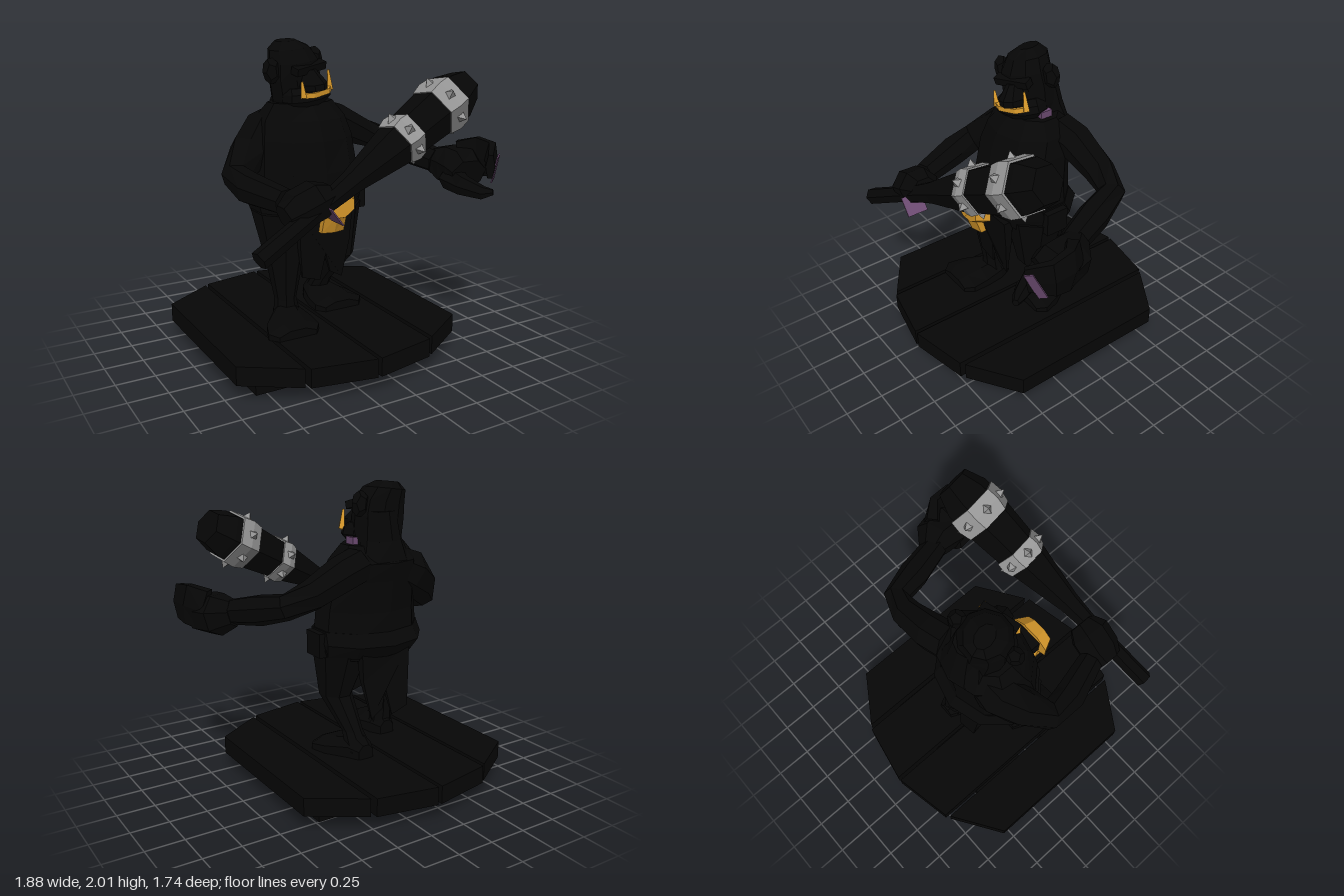
import * as THREE from 'three';

const flat = (name, color) => {
  const m = new THREE.MeshStandardMaterial({ color, side: THREE.DoubleSide, flatShading: true });
  m.name = name;
  return m;
};
const V = (x, y, z) => new THREE.Vector3(x, y, z);

export function createModel() {
  const black = flat('charcoal', 0x060606);
  const gold = flat('gold', 0xdc9c2c);
  const steel = flat('steel', 0x969696);
  const purple = flat('palm purple', 0x6e4c73);
  const model = new THREE.Group();

  const add = (parent, name, geo, mat, p = [0, 0, 0], r = [0, 0, 0]) => {
    const m = new THREE.Mesh(geo, mat);
    m.name = name;
    m.position.set(...p);
    m.rotation.set(...r);
    parent.add(m);
    return m;
  };
  const box = (parent, name, size, mat, p, r) => add(parent, name, new THREE.BoxGeometry(...size), mat, p, r);

  // Skin of n-sided rings; each point is [x, y, z, radius along ref, other radius]
  function loft(pts, { n = 8, ref = V(0, 1, 0), axis = null, floor = -9 } = {}) {
    const c = pts.map(p => V(p[0], p[1], p[2]));
    const rings = pts.map((p, i) => {
      const t = axis ? axis.clone()
        : c[Math.min(i + 1, c.length - 1)].clone().sub(c[Math.max(i - 1, 0)]).normalize();
      const u = ref.clone().addScaledVector(t, -t.dot(ref)).normalize();
      const v = t.clone().cross(u);
      return Array.from({ length: n }, (_, j) => {
        const a = (j + 0.5) / n * Math.PI * 2;
        const q = c[i].clone().addScaledVector(u, Math.cos(a) * p[3])
          .addScaledVector(v, Math.sin(a) * (p[4] ?? p[3]));
        q.y = Math.max(q.y, floor);
        return q;
      });
    });
    const out = [];
    const tri = (...vs) => vs.forEach(q => out.push(q.x, q.y, q.z));
    const last = rings.length - 1;
    for (let j = 0; j < n; j++) {
      const k = (j + 1) % n;
      for (let i = 0; i < last; i++) {
        const a = rings[i], b = rings[i + 1];
        tri(a[j], a[k], b[k]);
        tri(a[j], b[k], b[j]);
      }
      tri(c[0], rings[0][k], rings[0][j]);
      tri(c[last], rings[last][j], rings[last][k]);
    }
    const g = new THREE.BufferGeometry();
    g.setAttribute('position', new THREE.Float32BufferAttribute(out, 3));
    g.computeVertexNormals();
    return g;
  }
  const upright = { n: 10, ref: V(1, 0, 0), axis: V(0, 1, 0) };
  const polygon = pts => new THREE.Shape(pts.map(p => new THREE.Vector2(...p)));

  // Plank stand
  const stand = new THREE.Group();
  stand.name = 'stand';
  model.add(stand);
  for (const [x0, x1, z0, z1] of [[-0.945, -0.612, 0.55, 0.77], [-0.585, -0.18, 0.79, 0.87],
    [-0.155, 0.25, 0.87, 0.79], [0.28, 0.615, 0.77, 0.55]]) {
    const g = new THREE.ExtrudeGeometry(polygon([[x0, -z0], [x1, -z1], [x1, z1], [x0, z0]]),
      { depth: 0.12, bevelEnabled: false });
    g.rotateX(Math.PI / 2);
    add(stand, 'plank', g, black, [0, 0.22, 0]);
  }
  for (const z of [0.335, -0.295]) box(stand, 'crossBeam', [1.3, 0.12, 0.41], black, [-0.17, 0.06, z]);

  // Torso, nape and belt
  const ring = ([y, z, rx, rz]) => [-0.175, y, z, rx, rz];
  add(model, 'torso', loft([[0.88, -0.03, 0.34, 0.24], [1, -0.03, 0.37, 0.28], [1.2, -0.03, 0.35, 0.28],
    [1.4, -0.06, 0.33, 0.27], [1.52, -0.1, 0.3, 0.26], [1.62, -0.1, 0.22, 0.16]].map(ring), upright), black);
  add(model, 'nape', loft([[1.45, -0.23, 0.2, 0.1], [1.53, -0.24, 0.18, 0.11], [1.65, -0.2, 0.14, 0.12],
    [1.83, -0.17, 0.11, 0.11]].map(ring), upright), black);
  add(model, 'belt', loft([[0.9, -0.03, 0.36, 0.26], [0.99, -0.05, 0.385, 0.32],
    [1.07, -0.02, 0.375, 0.29]].map(ring), upright), black);
  box(model, 'beltPouch', [0.07, 0.16, 0.16], black, [0.19, 0.98, -0.02]);
  box(model, 'neckPatch', [0.05, 0.05, 0.08], purple, [-0.025, 1.64, -0.1]);

  // Buckle
  const plate = new THREE.CylinderGeometry(0.115, 0.162, 0.085, 8);
  plate.rotateY(Math.PI / 8);
  plate.rotateX(Math.PI / 2);
  plate.scale(1, 0.7, 1);
  add(model, 'buckle', plate, gold, [-0.18, 1.035, 0.37]);
  box(model, 'buckleMount', [0.18, 0.12, 0.1], black, [-0.18, 1.035, 0.28]);
  add(model, 'buckleDrop', loft([[-0.19, 0.86, 0.33, 0.09, 0.04], [-0.19, 0.98, 0.365, 0.09, 0.05]],
    { n: 6, ref: V(1, 0, 0), axis: V(0, 1, 0) }), gold);

  // Loincloth, front and back, tapering to the hem
  for (const [name, z, sweep] of [['frontCloth', 0.215, 0.015], ['backCloth', -0.235, 0.07]]) {
    const g = new THREE.ExtrudeGeometry(polygon([[-0.36, 0.95], [-0.355, 0.75], [-0.33, 0.54], [-0.2, 0.5],
      [-0.17, 0.68], [-0.13, 0.55], [-0.04, 0.5], [0, 0.75], [0.01, 0.95]]), { depth: 1, bevelEnabled: false });
    const p = g.attributes.position;
    for (let i = 0; i < p.count; i++) {
      const t = (p.getY(i) - 0.5) / 0.45;
      p.setZ(i, z - sweep * (1 - t) ** 2 + (p.getZ(i) - 0.5) * (0.01 + 0.06 * t));
    }
    g.computeVertexNormals();
    add(model, name, g, black);
  }

  // Legs and feet
  const leg = { ...upright, n: 8 };
  add(model, 'rightLeg', loft([[-0.38, 0.26, 0.08, 0.09, 0.08], [-0.39, 0.38, 0.08, 0.07, 0.075],
    [-0.39, 0.6, 0.08, 0.115, 0.11], [-0.36, 0.95, 0, 0.2, 0.22]], leg), black);
  add(model, 'leftLeg', loft([[-0.01, 0.26, -0.21, 0.09, 0.08], [0, 0.38, -0.14, 0.07, 0.07],
    [0.03, 0.6, 0.02, 0.11, 0.12], [0.0, 0.95, -0.02, 0.2, 0.22]], leg), black);
  for (const [name, x, z, dx] of [['rightFoot', -0.38, -0.01, -0.07], ['leftFoot', -0.01, -0.29, 0.04]]) {
    add(model, name, loft([[x, 0.25, z, 0.06, 0.07], [x, 0.25, z + 0.08, 0.1, 0.11],
      [x + dx * 0.7, 0.24, z + 0.22, 0.17, 0.09], [x + dx, 0.23, z + 0.33, 0.19, 0.08],
      [x + dx, 0.23, z + 0.39, 0.14, 0.05]], { n: 8, ref: V(1, 0, 0), axis: V(0, 0, 1), floor: 0.221 }), black);
  }

  // Head, turned and tilted a little
  const head = new THREE.Group();
  head.name = 'head';
  head.position.set(-0.2, 1.78, -0.08);
  head.rotation.set(0, 0.29, 0.14);
  model.add(head);
  add(head, 'skull', loft([[0, -0.24, -0.06, 0.14, 0.15], [0, -0.12, -0.03, 0.17, 0.16], [0, 0, -0.03, 0.175, 0.16],
    [0, 0.1, -0.03, 0.16, 0.16], [0, 0.18, -0.06, 0.125, 0.14], [0, 0.225, -0.08, 0.055, 0.08]], upright), black);
  add(head, 'jaw', loft([[0, -0.18, 0.05, 0.13, 0.1], [0, -0.13, 0.06, 0.18, 0.14],
    [0, -0.085, 0.06, 0.17, 0.13], [0, -0.05, 0.04, 0.14, 0.11]], upright), black);
  add(head, 'muzzle', loft([[0, -0.075, 0.1, 0.09, 0.125], [0, -0.035, 0.1, 0.095, 0.13],
    [0, 0.05, 0.07, 0.05, 0.08]], upright), black);
  box(head, 'brow', [0.25, 0.05, 0.06], black, [0, 0.06, 0.11], [0.3, 0, 0]);
  add(head, 'teeth', loft([[-0.12, -0.09, 0.155, 0.022, 0.016], [-0.06, -0.095, 0.195, 0.022, 0.016],
    [0.06, -0.095, 0.195, 0.022, 0.016], [0.12, -0.09, 0.155, 0.022, 0.016]], { n: 4 }), gold);
  for (const [s, h] of [[-1, 0.1], [1, 0.125]]) {
    add(head, 'tusk', new THREE.CylinderGeometry(0.009, 0.026, h, 4), gold, [s * 0.118, h / 2 - 0.1, 0.16]);
    const ear = add(head, 'ear', new THREE.DodecahedronGeometry(0.085), black, [s * 0.19, 0.07, -0.03]);
    ear.scale.set(0.7, 1, 0.6);
  }

  // Arms: shoulder, elbow, wrist
  add(model, 'rightArm', loft([[-0.26, 1.5, -0.18, 0.12], [-0.4, 1.42, -0.17, 0.15], [-0.54, 1.32, -0.1, 0.13],
    [-0.68, 1.2, 0.02, 0.095], [-0.67, 1.16, 0.2, 0.1], [-0.58, 1.13, 0.48, 0.08]], { n: 7 }), black);
  add(model, 'leftArm', loft([[0, 1.5, -0.2, 0.12], [0.14, 1.46, -0.23, 0.12], [0.36, 1.36, -0.24, 0.1],
    [0.52, 1.3, -0.2, 0.085], [0.59, 1.25, 0, 0.1], [0.67, 1.2, 0.24, 0.085]], { n: 7 }), black);

  // Gripping right hand
  add(model, 'rightHand', loft([[-0.64, 1.07, 0.59, 0.08, 0.1], [-0.56, 1.1, 0.59, 0.125, 0.14],
    [-0.44, 1.15, 0.6, 0.125, 0.14], [-0.36, 1.17, 0.6, 0.08, 0.09]], { n: 7 }), black);
  box(model, 'rightPalmEdge', [0.008, 0.13, 0.14], purple, [-0.385, 1.075, 0.675], [0, 0, 0.65]);

  // Open left hand
  add(model, 'leftPalm', loft([[0.67, 1.2, 0.2, 0.09, 0.08], [0.73, 1.18, 0.29, 0.14, 0.14],
    [0.75, 1.17, 0.42, 0.14, 0.16], [0.74, 1.15, 0.5, 0.1, 0.13]], { n: 7 }), black);
  add(model, 'leftFingers', loft([[0.8, 1.21, 0.34, 0.15, 0.07], [0.88, 1.24, 0.43, 0.15, 0.05],
    [0.89, 1.24, 0.54, 0.13, 0.045], [0.79, 1.22, 0.65, 0.09, 0.03]], { n: 6 }), black);
  add(model, 'leftThumb', loft([[0.68, 1.12, 0.4, 0.09, 0.1], [0.67, 1.09, 0.53, 0.07, 0.06],
    [0.73, 1.06, 0.66, 0.045, 0.04], [0.77, 1.07, 0.71, 0.02, 0.02]], { n: 6 }), black);
  add(model, 'leftFingerSkin', loft([[0.835, 1.29, 0.67, 0.04, 0.006], [0.865, 1.11, 0.59, 0.04, 0.006]],
    { n: 4, ref: V(0.75, 0, -0.6) }), purple);

  // Club: stacked rings along its own y axis, with studded bands
  const club = new THREE.Group();
  club.name = 'club';
  club.position.set(-0.87, 0.9, 0.735);
  club.quaternion.setFromUnitVectors(V(0, 1, 0), V(1.57, 0.81, -0.28).normalize());
  model.add(club);
  const along = pts => pts.map(([y, r]) => [0, y, 0, r]);
  const clubStyle = { n: 6, ref: V(1, 0, 0), axis: V(0, 1, 0) };
  add(club, 'clubBody', loft(along([[0, 0.058], [0.5, 0.055], [0.75, 0.075], [1.1, 0.135], [1.3, 0.15],
    [1.56, 0.17], [1.68, 0.165], [1.81, 0.115]]), clubStyle), black);
  for (const [y, r, h] of [[1.19, 0.157, 0.12], [1.56, 0.182, 0.16]]) {
    add(club, 'metalBand', loft(along([[y - h / 2, r - 0.01], [y, r + 0.008], [y + h / 2, r]]), clubStyle), steel);
    for (let i = 0; i < 6; i++) {
      const a = i / 6 * Math.PI * 2;
      const d = V(Math.cos(a), 0, Math.sin(a));
      const out = r * 0.866 + 0.022;
      const stud = add(club, 'stud', new THREE.ConeGeometry(0.04, 0.05, 4), steel, [d.x * out, y, d.z * out]);
      stud.quaternion.setFromUnitVectors(V(0, 1, 0), d);
    }
  }
  return model;
}
